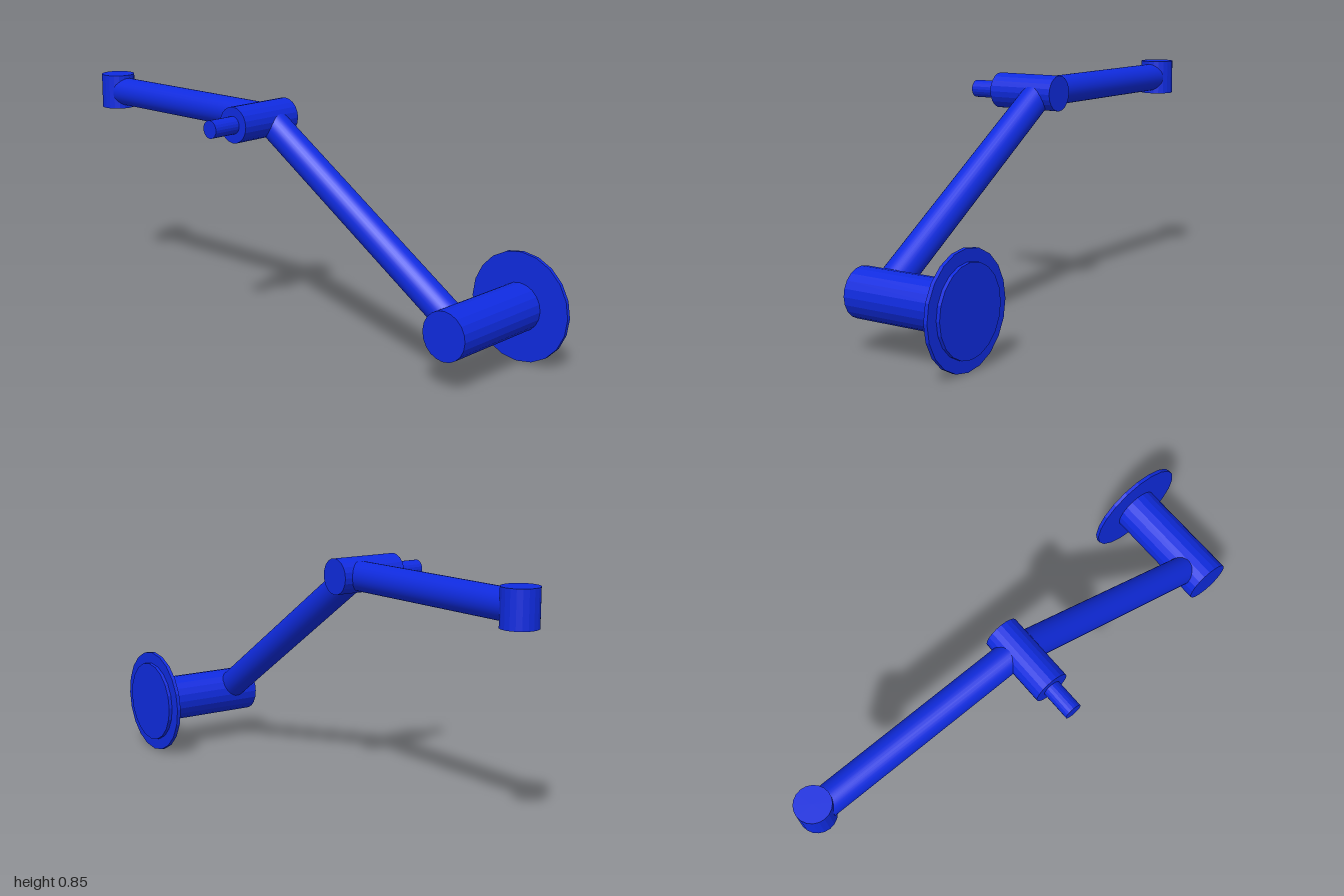
import * as THREE from 'three';

const flat = new THREE.MeshStandardMaterial({ color: 0x0f2be0, flatShading: true });
const smooth = new THREE.MeshStandardMaterial({ color: 0x0f2be0 });

// Closed cylinder running between two points
function rod(name, from, to, radius, sides, material) {
  const a = new THREE.Vector3(...from), b = new THREE.Vector3(...to);
  const dir = b.clone().sub(a);
  const mesh = new THREE.Mesh(new THREE.CylinderGeometry(radius, radius, dir.length(), sides), material);
  mesh.position.copy(a).add(b).multiplyScalar(0.5);
  mesh.quaternion.setFromUnitVectors(new THREE.Vector3(0, 1, 0), dir.normalize());
  mesh.name = name;
  return mesh;
}

export function createModel() {
  const group = new THREE.Group();
  group.name = 'foldingWallSpout';

  const wall = [0.803, 0.199];     // x, y of the wall mount
  const joint = [-0.082, 0.783];   // x, y of the elbow joint
  const armZ = 0.034;

  // Wall mount: flange, raised back plate and thick body
  group.add(
    rod('wallFlange', [...wall, -0.308], [...wall, -0.294], 0.197, 20, flat),
    rod('backPlate', [...wall, -0.321], [...wall, -0.307], 0.154, 20, flat),
    rod('mountBody', [...wall, -0.3], [...wall, 0.124], 0.087, 20, flat)
  );

  // Two arms meeting at the elbow
  group.add(
    rod('lowerArm', [wall[0] - 0.03, wall[1] + 0.02, armZ], [joint[0] + 0.032, joint[1] - 0.021, armZ], 0.054, 32, smooth),
    rod('upperArm', [joint[0], joint[1], armZ], [-0.9, joint[1], armZ], 0.054, 32, smooth)
  );

  // Elbow joint and its handle
  group.add(
    rod('elbowJoint', [...joint, -0.051], [...joint, 0.211], 0.065, 20, flat),
    rod('handle', [...joint, 0.2], [...joint, 0.321], 0.032, 20, flat)
  );

  // Outlet: closed on top, bored from below
  const profile = [[0, 0.03], [0.036, 0.03], [0.036, 0], [0.064, 0], [0.064, 0.131], [0, 0.131]]
    .map(([x, y]) => new THREE.Vector2(x, y));
  const outlet = new THREE.Mesh(new THREE.LatheGeometry(profile, 20), flat);
  outlet.position.set(-0.936, 0.718, armZ - 0.002);
  outlet.name = 'outlet';
  group.add(outlet);

  return group;
}
